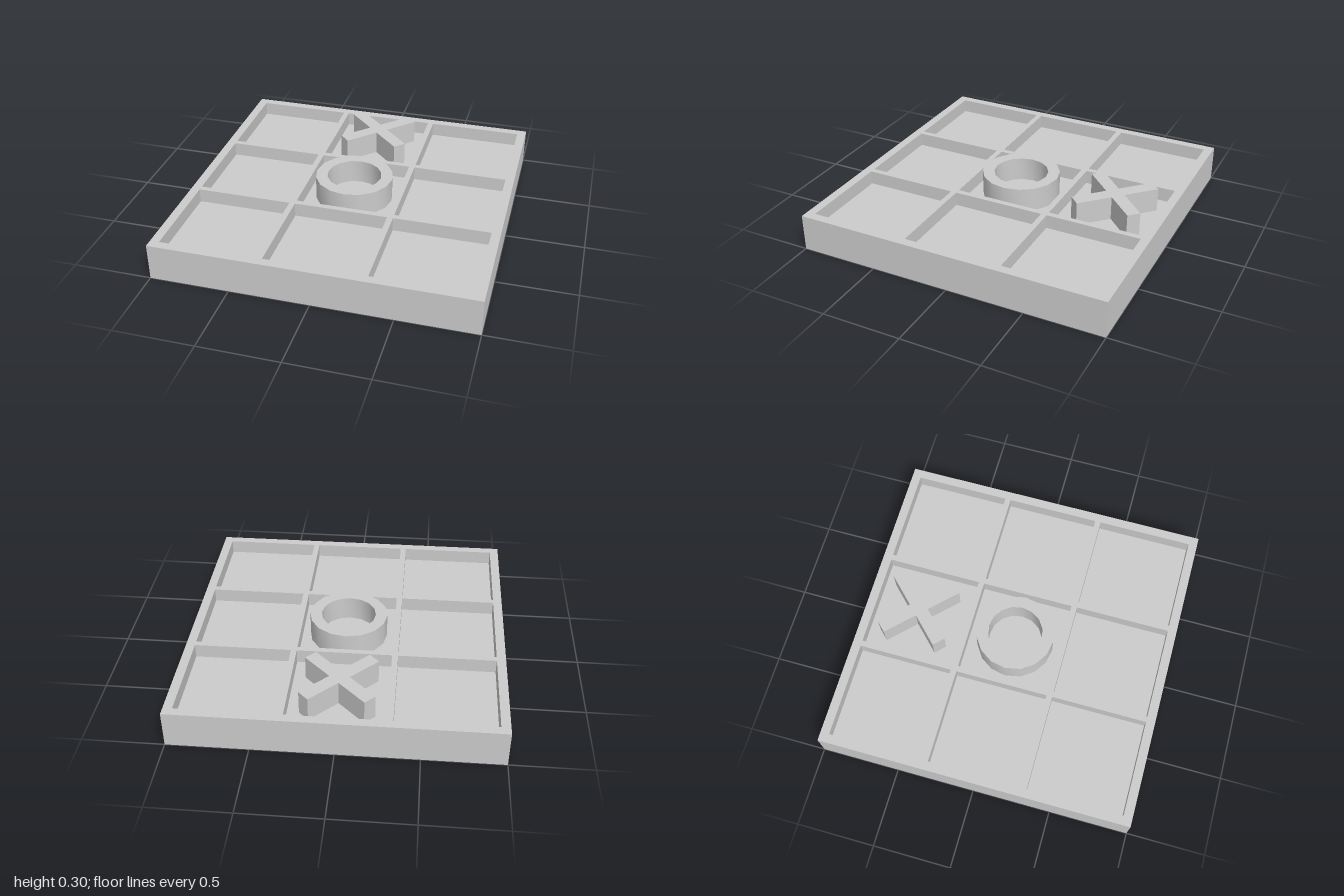
import * as THREE from 'three';
import { toCreasedNormals } from 'three/addons/utils/BufferGeometryUtils.js';

const FLOOR = 0.145, RIM = 0.235, TOP = 0.3;

const polygon = (Type, pts) => new Type(pts.map(([x, y]) => new THREE.Vector2(x, y)));
const rect = (Type, x0, x1, y0, y1) => polygon(Type, [[x0, y0], [x1, y0], [x1, y1], [x0, y1]]);

// Extrude a plan shape upwards (shape y becomes -z)
function slab(shape, y0, y1) {
  const g = new THREE.ExtrudeGeometry(shape, { depth: y1 - y0, bevelEnabled: false });
  g.rotateX(-Math.PI / 2);
  g.translate(0, y0, 0);
  return g;
}

export function createModel() {
  const group = new THREE.Group();
  const material = new THREE.MeshStandardMaterial({ color: 0xcccccc });
  const add = (name, geometry) => {
    const mesh = new THREE.Mesh(geometry, material);
    mesh.name = name;
    group.add(mesh);
    return mesh;
  };

  // Solid lower board, whose top is the floor of the cells
  add('boardBase', new THREE.BoxGeometry(2, FLOOR, 2).translate(0, FLOOR / 2, 0));

  // Rim and dividers: a square plate with nine square openings
  const frame = rect(THREE.Shape, -1, 1, -1, 1);
  const spans = [[-0.943, -0.335], [-0.298, 0.298], [0.335, 0.943]];
  for (const [x0, x1] of spans) {
    for (const [y0, y1] of spans) frame.holes.push(rect(THREE.Path, x0, x1, y0, y1));
  }
  add('boardGrid', slab(frame, FLOOR, RIM));

  // Ring piece in the centre cell
  const profile = [[0.175, FLOOR], [0.25, FLOOR], [0.25, TOP], [0.175, TOP], [0.175, FLOOR]]
    .map(([r, y]) => new THREE.Vector2(r, y));
  add('ringPiece', toCreasedNormals(new THREE.LatheGeometry(profile, 16), Math.PI / 5));

  // Cross piece in the back middle cell: four arms around the centre
  const w = 0.043, l = 0.275, outline = [];
  for (let i = 0; i < 4; i++) {
    const a = Math.PI / 4 + i * Math.PI / 2, c = Math.cos(a), s = Math.sin(a);
    for (const [x, y] of [[l, -w], [l, w], [w, w]]) outline.push([x * c - y * s, x * s + y * c]);
  }
  add('crossPiece', slab(polygon(THREE.Shape, outline), FLOOR, TOP)).position.z = -0.65;

  return group;
}
